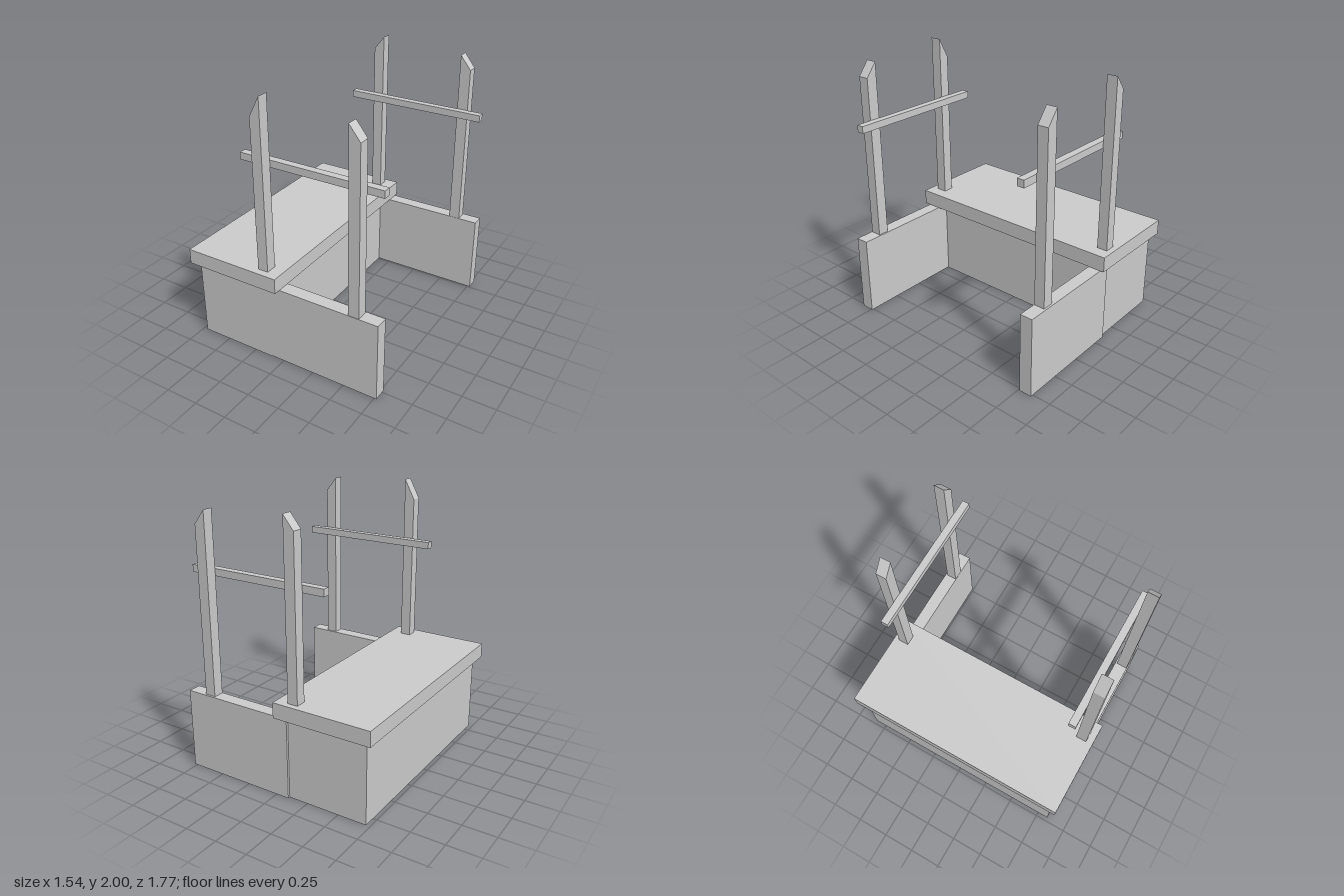
import * as THREE from 'three';

const material = new THREE.MeshStandardMaterial({ color: 0xcccccc, flatShading: true });

export function createModel() {
  const model = new THREE.Group();

  // Box given by its limits on each axis
  function addBox(name, [x0, x1], [y0, y1], [z0, z1]) {
    const mesh = new THREE.Mesh(new THREE.BoxGeometry(x1 - x0, y1 - y0, z1 - z0), material);
    mesh.position.set((x0 + x1) / 2, (y0 + y1) / 2, (z0 + z1) / 2);
    mesh.name = name;
    model.add(mesh);
  }

  // Square post with a slanted top: height topA at x0, topB at x1
  function addPost(name, [x0, x1], bottom, topA, topB, [z0, z1]) {
    const shape = new THREE.Shape([
      new THREE.Vector2(x0, bottom),
      new THREE.Vector2(x1, bottom),
      new THREE.Vector2(x1, topB),
      new THREE.Vector2(x0, topA),
    ]);
    const geometry = new THREE.ExtrudeGeometry(shape, { depth: z1 - z0, bevelEnabled: false });
    const mesh = new THREE.Mesh(geometry, material);
    mesh.position.z = z0;
    mesh.name = name;
    model.add(mesh);
  }

  // Base block with its overhanging slab
  addBox('baseBlock', [-0.72, -0.1], [0, 0.61], [-0.84, 0.835]);
  addBox('topSlab', [-0.77, -0.01], [0.61, 0.725], [-0.885, 0.885]);

  // Each side: low wall, two posts and a rail fixed to their inner faces
  const sides = [
    { name: 'front', wall: [0.735, 0.835], wallBottom: 0.005, post: [0.748, 0.832], rail: [0.693, 0.748], slant: 1.85 },
    { name: 'back', wall: [-0.857, -0.76], wallBottom: 0, post: [-0.842, -0.762], rail: [-0.762, -0.707], slant: 1.9 },
  ];
  for (const s of sides) {
    addBox(s.name + 'Wall', [-0.1, 0.77], [s.wallBottom, 0.61], s.wall);
    addPost(s.name + 'SlabPost', [-0.185, -0.105], 0.725, s.slant, 2, s.post);
    addPost(s.name + 'WallPost', [0.542, 0.625], 0.61, 1.957, 1.852, s.post);
    addBox(s.name + 'Rail', [-0.35, 0.747], [1.487, 1.54], s.rail);
  }

  return model;
}
